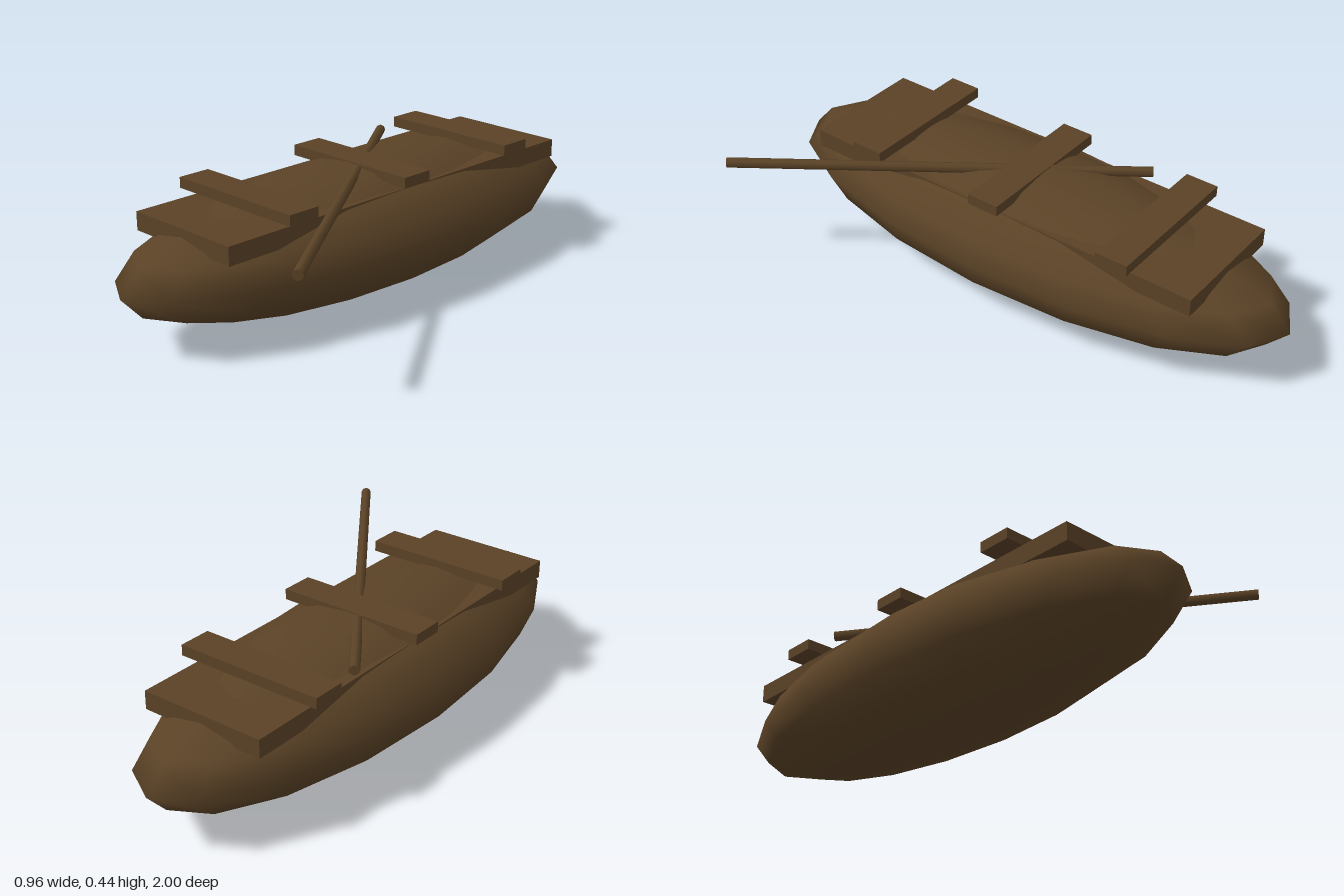
import * as THREE from 'three';

export function createModel() {
  const boat = new THREE.Group();
  boat.name = 'rowingBoat';
  const wood = new THREE.MeshStandardMaterial({ color: 0x5a4226 });
  wood.name = 'dark wood';
  const midX = -0.134;

  function add(name, geometry, x, y, z) {
    const mesh = new THREE.Mesh(geometry, wood);
    mesh.name = name;
    mesh.position.set(x, y, z);
    boat.add(mesh);
    return mesh;
  }

  // Stretched round hull
  const hull = new THREE.SphereGeometry(1, 16, 8);
  hull.scale(0.348, 0.217, 1);
  add('hull', hull, midX, 0.22, 0);

  // Flat deck that the hull's crown rises through
  add('deck', new THREE.BoxGeometry(0.448, 0.063, 1.53), midX, 0.352, 0);

  // Three cross benches
  for (const z of [-0.5, 0, 0.5]) {
    add('bench', new THREE.BoxGeometry(0.531, 0.037, 0.117), midX, 0.42, z);
  }

  // Oar shaft lying diagonally across the boat
  const oar = new THREE.CylinderGeometry(0.0175, 0.0175, 1.43, 8);
  oar.rotateX(Math.PI / 2);
  oar.rotateY(Math.atan2(0.83, 1.166));
  add('oar', oar, 0.05, 0.42, 0.249);

  return boat;
}
